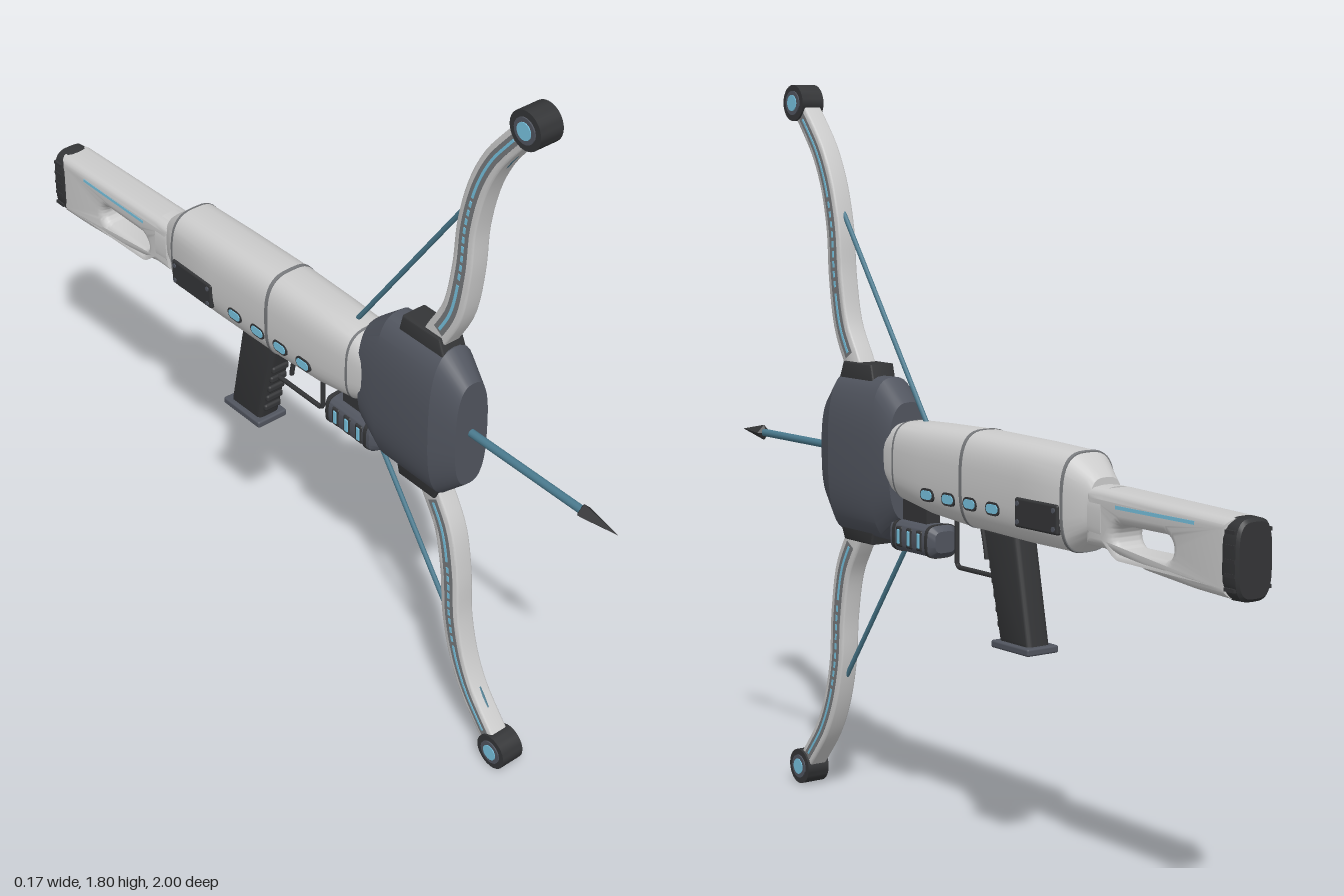
import * as THREE from 'three';
import { toCreasedNormals } from 'three/addons/utils/BufferGeometryUtils.js';
import { RoundedBoxGeometry } from 'three/addons/geometries/RoundedBoxGeometry.js';

const MID = 0.905; // height of the bow's mirror line
const mat = (color) => new THREE.MeshStandardMaterial({ color });
const V = (x, y, z) => new THREE.Vector3(x, y, z);

export function createModel() {
  const group = new THREE.Group();
  const light = mat(0xcccccc), slate = mat(0x51555f), dark = mat(0x343537);
  const cyan = mat(0x78c3e0), steel = mat(0x4a7a8e), groove = mat(0x77797c);

  const add = (name, geo, material, x = 0, y = 0, z = 0, parent = group) => {
    const m = new THREE.Mesh(geo, material);
    m.name = name;
    m.position.set(x, y, z);
    parent.add(m);
    return m;
  };

  // Closed hull through superellipse sections [z, centreY, halfHeight, halfWidth], z rising
  const loft = (stations, n, crease = 0.5) => {
    const N = 40, pos = [], idx = [];
    for (const [z, cy, hh, hw] of stations) {
      for (let j = 0; j < N; j++) {
        const a = (j / N) * Math.PI * 2, c = Math.cos(a), s = Math.sin(a);
        pos.push(Math.sign(c) * Math.abs(c) ** (2 / n) * hw, cy + Math.sign(s) * Math.abs(s) ** (2 / n) * hh, z);
      }
    }
    const last = stations.length - 1, back = pos.length / 3, front = back + 1;
    pos.push(0, stations[0][1], stations[0][0], 0, stations[last][1], stations[last][0]);
    for (let j = 0; j < N; j++) {
      const k = (j + 1) % N;
      for (let i = 0; i < last; i++) {
        const a = i * N + j, b = i * N + k;
        idx.push(a, b, b + N, a, b + N, a + N);
      }
      idx.push(back, k, j, front, last * N + j, last * N + k);
    }
    const g = new THREE.BufferGeometry();
    g.setAttribute('position', new THREE.Float32BufferAttribute(pos, 3));
    g.setIndex(idx);
    return toCreasedNormals(g, crease);
  };

  // Side outline in (z, y), extruded symmetrically to a total width in x
  const sideExtrude = (shape, width, bevel = 0, crease = 0.6) => {
    const g = new THREE.ExtrudeGeometry(shape, {
      depth: width - 2 * bevel, bevelEnabled: bevel > 0, bevelSize: bevel, bevelThickness: bevel,
      bevelOffset: -bevel, bevelSegments: 4, curveSegments: 12,
    });
    g.translate(0, 0, -(width - 2 * bevel) / 2);
    g.rotateY(-Math.PI / 2);
    return toCreasedNormals(g, crease);
  };
  const poly = (pts) => new THREE.Shape(pts.map(([z, y]) => new THREE.Vector2(z, y)));
  const slot = (z0, z1, y, r, Type = THREE.Shape) => {
    const s = new Type();
    s.absarc(z1 - r, y, r, -Math.PI / 2, Math.PI / 2, false);
    s.absarc(z0 + r, y, r, Math.PI / 2, Math.PI * 1.5, false);
    s.closePath();
    return s;
  };
  const rod = (a, b, r, sides = 10) =>
    new THREE.TubeGeometry(new THREE.LineCurve3(a, b), 1, r, sides);

  // Main body
  add('body', loft([
    [-0.52, 0.885, 0.065, 0.045], [-0.505, 0.888, 0.075, 0.05], [-0.455, 0.888, 0.113, 0.075],
    [-0.3, 0.891, 0.116, 0.076], [-0.085, 0.896, 0.115, 0.077], [0.08, 0.9, 0.108, 0.075],
    [0.2, 0.908, 0.096, 0.071], [0.25, 0.912, 0.08, 0.064]], 3), light);
  add('bodySeam', loft([[-0.09, 0.896, 0.1165, 0.0785], [-0.08, 0.896, 0.1165, 0.0785]], 3), groove);
  add('rearSeam', loft([[-0.459, 0.888, 0.1125, 0.0755], [-0.452, 0.888, 0.1145, 0.0765]], 3), groove);
  add('frontSeam', loft([[0.196, 0.908, 0.0975, 0.0722], [0.202, 0.908, 0.0965, 0.0718]], 3), groove);

  // Side vents and bolted panels
  for (const z of [0.05, -0.035, -0.12, -0.207]) {
    add('ventRim', sideExtrude(slot(z - 0.026, z + 0.026, 0.847, 0.0155), 0.154), dark);
    add('ventLight', sideExtrude(slot(z - 0.021, z + 0.021, 0.847, 0.0105), 0.158), cyan);
  }
  add('sidePanel', new RoundedBoxGeometry(0.162, 0.068, 0.155, 2, 0.006), dark, 0, 0.852, -0.372);
  for (const y of [0.831, 0.873]) for (const z of [-0.307, -0.437]) {
    add('panelBolt', new THREE.CylinderGeometry(0.006, 0.006, 0.167, 8).rotateZ(Math.PI / 2), slate, 0, y, z);
  }

  // Stock with its through slot
  const stock = poly([[-0.5, 0.8], [-0.5, 0.932], [-0.56, 0.932], [-0.97, 0.92], [-0.97, 0.752], [-0.86, 0.757],
    [-0.7, 0.772], [-0.56, 0.8]].reverse());
  stock.holes.push(slot(-0.79, -0.6, 0.832, 0.027, THREE.Path));
  add('stock', sideExtrude(stock, 0.096, 0.022), light);
  add('stockCollar', loft([[-0.56, 0.866, 0.069, 0.05], [-0.515, 0.868, 0.066, 0.05]], 3), light);
  add('stockStrip', new THREE.BoxGeometry(0.0975, 0.008, 0.255), cyan, 0, 0.899, -0.737);
  add('buttPad', loft([[-1, 0.835, 0.08, 0.045], [-0.993, 0.835, 0.087, 0.05],
    [-0.962, 0.835, 0.088, 0.051], [-0.953, 0.835, 0.084, 0.049]], 3.5), dark);
  for (let i = 0; i < 5; i++) {
    add('buttRib', new THREE.BoxGeometry(0.104, 0.008, 0.03), dark, 0, 0.775 + i * 0.03, -0.977);
  }

  // Front housing
  add('housing', loft([[0.228, 0.9, 0.145, 0.062], [0.295, 0.9, 0.2, 0.072],
    [0.48, 0.9, 0.2, 0.072], [0.545, 0.9, 0.139, 0.048]], 2.7, 0.3), slate);

  // Grip
  const grip = new THREE.Group();
  grip.name = 'grip';
  group.add(grip);
  add('gripHandle', sideExtrude(poly([[-0.11, 0.79], [-0.235, 0.79], [-0.287, 0.525], [-0.175, 0.525]]), 0.066, 0.014),
    dark, 0, 0, 0, grip);
  add('gripBase', new RoundedBoxGeometry(0.09, 0.018, 0.14, 2, 0.005), slate, 0, 0.524, -0.23, grip);
  for (let i = 0; i < 5; i++) {
    add('gripRidge', new RoundedBoxGeometry(0.05, 0.018, 0.03, 2, 0.006), dark,
      0, 0.7 - i * 0.033, -0.139 - i * 0.008, grip);
  }

  // Trigger and guard
  const guard = new THREE.CurvePath();
  const gp = [V(0, 0.79, 0.033), V(0, 0.678, 0.033), V(0, 0.67, 0.025), V(0, 0.67, -0.145)];
  gp.slice(1).forEach((p, i) => guard.add(new THREE.LineCurve3(gp[i], p)));
  add('triggerGuard', new THREE.TubeGeometry(guard, 40, 0.006, 8), dark);
  add('trigger', new THREE.TubeGeometry(new THREE.QuadraticBezierCurve3(
    V(0, 0.79, -0.065), V(0, 0.74, -0.08), V(0, 0.705, -0.085)), 10, 0.006, 8), dark);

  // Underslung light unit
  add('lightUnit', loft([[0.08, 0.723, 0.026, 0.03], [0.095, 0.723, 0.039, 0.043],
    [0.25, 0.723, 0.039, 0.043], [0.27, 0.723, 0.026, 0.03]], 3.5), slate);
  add('lightMount', new THREE.BoxGeometry(0.04, 0.07, 0.1), dark, 0, 0.78, 0.18);
  for (const z of [0.1, 0.235]) {
    add('lightBand', loft([[z - 0.005, 0.723, 0.041, 0.045], [z + 0.005, 0.723, 0.041, 0.045]], 3.5), dark);
  }
  for (const z of [0.213, 0.171, 0.13]) {
    add('lightRim', new RoundedBoxGeometry(0.09, 0.05, 0.025, 2, 0.005), dark, 0, 0.723, z);
    add('lightCell', new RoundedBoxGeometry(0.094, 0.038, 0.014, 2, 0.004), cyan, 0, 0.723, z);
  }

  // Bow limbs: bands that follow one curve, mirrored below
  const limbCurve = new THREE.CatmullRomCurve3([[0.41, 1.06], [0.44, 1.12], [0.49, 1.21], [0.515, 1.33],
    [0.525, 1.45], [0.553, 1.56], [0.592, 1.64], [0.638, 1.7], [0.69, 1.76]].map(([z, y]) => V(z, y, 0)));
  const band = (t0, t1, half, offset, width, bevel, sign, steps = 30) => {
    const a = [], b = [];
    for (let i = 0; i <= steps; i++) {
      const t = t0 + (t1 - t0) * (i / steps);
      const p = limbCurve.getPointAt(t), d = limbCurve.getTangentAt(t), h = half * (1 - 0.25 * t);
      const at = (o) => [p.x + d.y * o, MID + sign * (p.y - d.x * o - MID)];
      a.push(at(offset + h));
      b.unshift(at(offset - h));
    }
    return sideExtrude(poly([...a, ...b]), width, bevel);
  };
  for (const s of [1, -1]) {
    const side = new THREE.Group();
    side.name = s > 0 ? 'upperLimb' : 'lowerLimb';
    group.add(side);
    const Y = (y) => MID + s * (y - MID);
    add('limb', band(0, 1, 0.033, 0, 0.05, 0.006, s), light, 0, 0, 0, side);
    add('limbGroove', band(0.12, 0.95, 0.016, 0, 0.0515, 0, s), groove, 0, 0, 0, side);
    add('limbGlowLower', band(0.13, 0.33, 0.004, 0, 0.054, 0, s), cyan, 0, 0, 0, side);
    for (let i = 0; i < 9; i++) {
      const t = 0.35 + i * 0.032;
      add('limbGlowDash', band(t, t + 0.02, 0.004, 0, 0.054, 0, s, 3), cyan, 0, 0, 0, side);
    }
    add('limbGlowUpper', band(0.64, 0.93, 0.004, 0, 0.054, 0, s), cyan, 0, 0, 0, side);

    // Clamp on the housing
    add('limbClamp', sideExtrude(poly([[0.33, 1.07], [0.49, 1.07], [0.465, 1.128], [0.345, 1.128]]
      .map(([z, y]) => [z, Y(y)])), 0.07, 0.006), dark, 0, 0, 0, side);

    // Wheel at the tip
    const wheel = (name, r, w, m) => add(name, toCreasedNormals(
      new THREE.CylinderGeometry(r, r, w, 28).rotateZ(Math.PI / 2), 0.6), m, 0, Y(1.76), 0.69, side);
    wheel('tipWheel', 0.045, 0.062, dark);
    wheel('tipHub', 0.03, 0.068, slate);
    wheel('tipLight', 0.02, 0.072, cyan);

    // String from wheel to body
    add('string', rod(V(0, Y(1.74), 0.69), V(0, Y(0.965), 0.13), 0.006), steel, 0, 0, 0, side);
  }

  // Arrow
  add('arrowShaft', rod(V(0, 0.903, 0.5), V(0, 0.903, 0.92), 0.01, 12), steel);
  const tip = [[0, 0], [0.02, 0.012], [0, 0.115]].map(([r, y]) => new THREE.Vector2(r, y));
  add('arrowHead', toCreasedNormals(new THREE.LatheGeometry(tip, 4).rotateX(Math.PI / 2), 0.3), dark, 0, 0.903, 0.885);

  return group;
}
